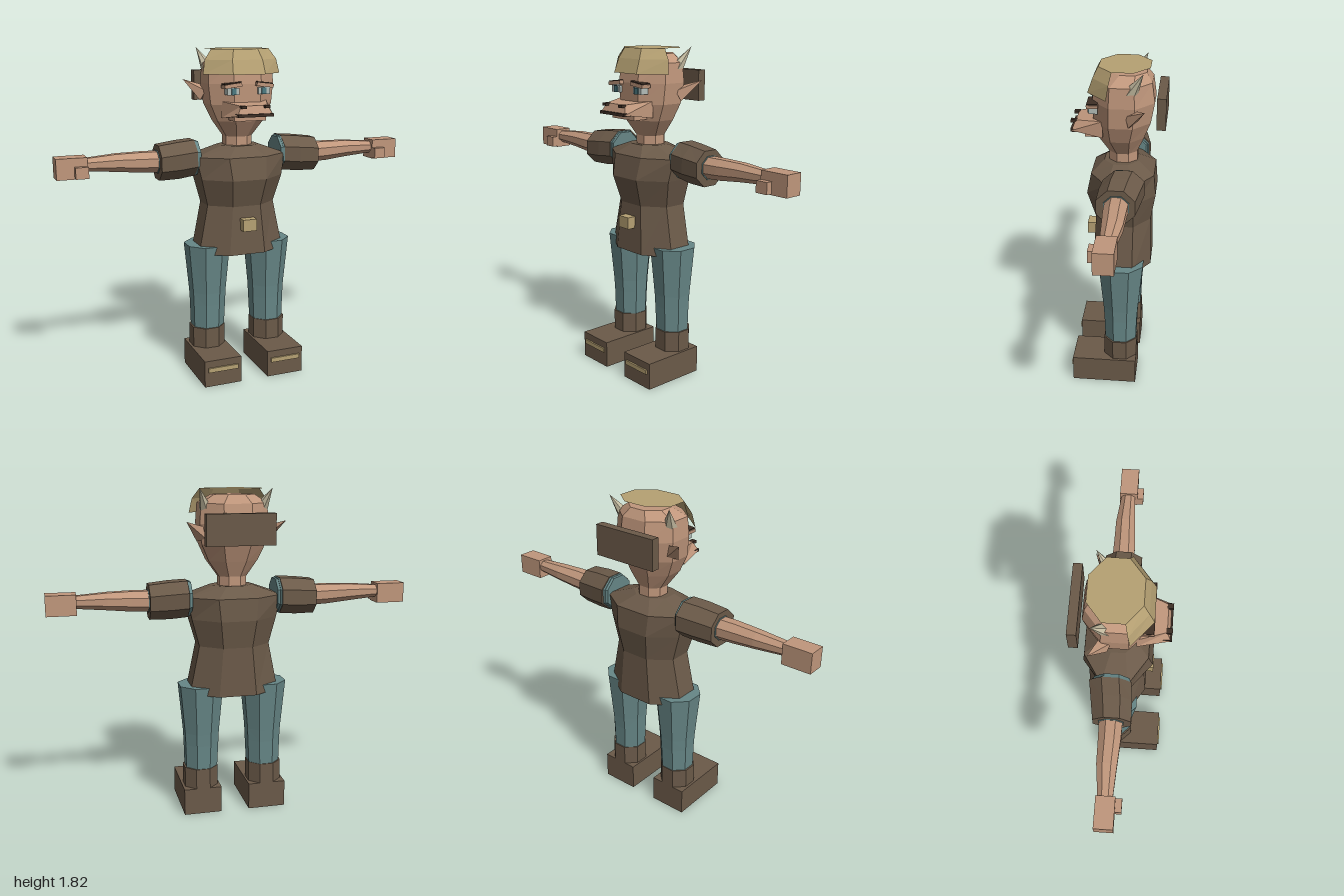
import * as THREE from 'three';

const mat = (name, color, side = THREE.FrontSide) => {
  const m = new THREE.MeshStandardMaterial({ color, side });
  m.name = name;
  m.flatShading = true;
  return m;
};

// Point on an octagon that has flat sides facing x and z
const octPoint = ([y, hx, zFront, zBack, cx = 0], i) => {
  const a = (i + 0.5) * Math.PI / 4, k = 1 / Math.cos(Math.PI / 8);
  const hz = (zFront - zBack) / 2, cz = (zFront + zBack) / 2;
  return [cx + hx * k * Math.sin(a), y, cz + hz * k * Math.cos(a)];
};

// Faceted body through octagon rings [y, halfWidth, zFront, zBack, centreX], bottom to top
function loft(rings, { sides = [0, 1, 2, 3, 4, 5, 6, 7], bottom = true, top = true, walls = true } = {}) {
  const v = [];
  const tri = (...p) => p.forEach(q => v.push(...q));
  if (walls) for (let r = 0; r < rings.length - 1; r++) {
    for (const i of sides) {
      const a = octPoint(rings[r], i), b = octPoint(rings[r], i + 1);
      const c = octPoint(rings[r + 1], i + 1), d = octPoint(rings[r + 1], i);
      tri(a, b, c);
      tri(a, c, d);
    }
  }
  const first = rings[0], last = rings[rings.length - 1];
  for (let i = 1; i < 7; i++) {
    if (bottom) tri(octPoint(first, 0), octPoint(first, i + 1), octPoint(first, i));
    if (top) tri(octPoint(last, 0), octPoint(last, i), octPoint(last, i + 1));
  }
  const g = new THREE.BufferGeometry();
  g.setAttribute('position', new THREE.Float32BufferAttribute(v, 3));
  g.computeVertexNormals();
  return g;
}

// Box given by its limits
const box = (x0, x1, y0, y1, z0, z1) => new THREE.BoxGeometry(x1 - x0, y1 - y0, z1 - z0)
  .translate((x0 + x1) / 2, (y0 + y1) / 2, (z0 + z1) / 2);

// Pointed cone from a base centre to a tip
function spike(base, tip, radius, sides, flatten = 1) {
  const b = new THREE.Vector3(...base), d = new THREE.Vector3(...tip).sub(b), len = d.length();
  const q = new THREE.Quaternion().setFromUnitVectors(new THREE.Vector3(0, 1, 0), d.normalize());
  return new THREE.ConeGeometry(radius, len, sides).translate(0, len / 2, 0)
    .scale(1, 1, flatten).applyQuaternion(q).translate(b.x, b.y, b.z);
}

// Copy reflected in x, with the corner order reversed
function mirrored(geo) {
  const g = geo.index ? geo.toNonIndexed() : geo.clone();
  g.scale(-1, 1, 1);
  const p = g.attributes.position, a = new THREE.Vector3(), b = new THREE.Vector3();
  for (let i = 0; i < p.count; i += 3) {
    a.fromBufferAttribute(p, i + 1);
    b.fromBufferAttribute(p, i + 2);
    p.setXYZ(i + 1, b.x, b.y, b.z);
    p.setXYZ(i + 2, a.x, a.y, a.z);
  }
  g.computeVertexNormals();
  return g;
}

export function createModel() {
  const group = new THREE.Group();
  group.name = 'hornedVillager';
  const brown = mat('brown leather', 0x6b5a49);
  const skin = mat('skin', 0xc0977c);
  const teal = mat('teal cloth', 0x678787);
  const tan = mat('tan', 0xb6a173, THREE.DoubleSide);
  const horn = mat('horn', 0xc6bda2);
  const dark = mat('dark brown', 0x3d2e25);
  const white = mat('eye white', 0xb3bdb8);
  const iris = mat('iris', 0x4c7a82);

  const add = (name, geo, material) => {
    const m = new THREE.Mesh(geo, material);
    m.name = name;
    group.add(m);
  };
  const pair = (name, geo, material) => {
    add(name + 'Left', geo, material);
    add(name + 'Right', mirrored(geo), material);
  };

  // Tunic and buckle
  add('tunic', loft([
    [0.70, 0.25, 0.135, -0.185], [0.97, 0.195, 0.12, -0.18], [1.12, 0.235, 0.165, -0.205],
    [1.24, 0.26, 0.14, -0.195], [1.295, 0.11, 0.075, -0.11],
  ]), brown);
  add('buckle', box(-0.04, 0.04, 0.84, 0.905, 0.11, 0.173), tan);

  // Neck and head
  add('neck', loft([[1.27, 0.075, 0.05, -0.1], [1.36, 0.075, 0.05, -0.1]]), skin);
  add('head', loft([
    [1.335, 0.07, 0.045, -0.095], [1.43, 0.135, 0.105, -0.135], [1.52, 0.175, 0.128, -0.17],
    [1.63, 0.187, 0.133, -0.19], [1.735, 0.18, 0.12, -0.175], [1.78, 0.11, 0.045, -0.145],
  ]), skin);

  // Hair: fringe over the three front sides and a flat crown
  const hair = [[1.68, 0.22, 0.155, -0.215], [1.755, 0.205, 0.128, -0.19], [1.81, 0.165, 0.1, -0.165]];
  add('fringe', loft(hair, { sides: [0, 6, 7], bottom: false, top: false }), tan);
  add('crown', loft(hair, { walls: false, bottom: false }), tan);
  add('headBackPlate', box(-0.185, 0.185, 1.525, 1.69, -0.252, -0.205), brown);

  // Horns and ears
  pair('horn', spike([0.145, 1.69, -0.065], [0.195, 1.815, -0.137], 0.042, 6), horn);
  pair('ear', spike([0.165, 1.57, -0.075], [0.268, 1.645, -0.15], 0.05, 4, 0.7), skin);

  // Snout: a box that narrows and droops towards its tip
  const snout = new THREE.BoxGeometry(1, 1, 1);
  const sp = snout.attributes.position;
  for (let i = 0; i < sp.count; i++) {
    const front = sp.getZ(i) > 0, up = sp.getY(i) > 0;
    sp.setXYZ(i, Math.sign(sp.getX(i)) * (front ? (up ? 0.075 : 0.1) : 0.13),
      up ? (front ? 1.525 : 1.54) : (front ? 1.475 : 1.45),
      front ? (up ? 0.22 : 0.24) : 0.075);
  }
  snout.computeVertexNormals();
  add('snout', snout, skin);
  add('mouth', box(-0.1, 0.1, 1.468, 1.484, 0.2, 0.246), dark);
  add('lowerLip', box(-0.09, 0.09, 1.44, 1.468, 0.08, 0.17), skin);
  pair('nostril', box(0.052, 0.08, 1.512, 1.527, 0.215, 0.246), dark);

  // Eyes and brows
  pair('eye', box(0.055, 0.12, 1.576, 1.612, 0.1, 0.147), white);
  pair('iris', box(0.072, 0.098, 1.576, 1.61, 0.145, 0.153), iris);
  pair('brow', box(-0.048, 0.048, -0.009, 0.009, -0.03, 0.03).rotateZ(-0.12).translate(0.09, 1.624, 0.127), skin);
  pair('browLine', box(-0.045, 0.045, -0.003, 0.003, -0.028, 0.028).rotateZ(-0.12).translate(0.09, 1.636, 0.127), dark);

  // Arms: lofted upwards, then laid along x (ring centre x = -height)
  const lay = rings => loft(rings).rotateZ(-Math.PI / 2);
  pair('undershirt', lay([[0.235, 0.09, 0.05, -0.13, -1.232], [0.258, 0.094, 0.055, -0.14, -1.232]]), teal);
  pair('undershirtInner', lay([[0.248, 0.094, 0.055, -0.14, -1.232], [0.256, 0.096, 0.057, -0.145, -1.232]]), teal);
  pair('sleeve', lay([
    [0.256, 0.097, 0.06, -0.155, -1.233], [0.35, 0.099, 0.07, -0.14, -1.225], [0.46, 0.093, 0.072, -0.123, -1.218],
  ]), brown);
  pair('undershirtCuff', lay([[0.44, 0.064, 0.037, -0.097, -1.222], [0.464, 0.06, 0.034, -0.093, -1.222]]), teal);
  pair('arm', lay([
    [0.44, 0.056, 0.03, -0.09, -1.222], [0.55, 0.054, 0.027, -0.087, -1.225],
    [0.68, 0.046, 0.018, -0.085, -1.23], [0.85, 0.033, 0.008, -0.066, -1.23],
  ]), skin);
  pair('hand', box(0.84, 1, 1.165, 1.275, -0.075, 0.022), skin);
  pair('thumb', box(0.84, 0.908, 1.17, 1.23, 0.01, 0.055), skin);

  // Legs and boots
  pair('trouserLeg', loft([
    [0.255, 0.088, 0.058, -0.115, 0.182], [0.40, 0.093, 0.063, -0.12, 0.18],
    [0.47, 0.096, 0.067, -0.125, 0.18], [0.745, 0.12, 0.092, -0.15, 0.18],
  ]), teal);
  pair('bootCuff', loft([[0.14, 0.094, 0.065, -0.12, 0.185], [0.265, 0.094, 0.065, -0.12, 0.185]]), brown);
  pair('boot', box(0.08, 0.293, 0, 0.15, -0.12, 0.24), brown);
  pair('bootTrim', box(0.1, 0.273, 0.085, 0.11, 0.24, 0.249), tan);
  return group;
}
